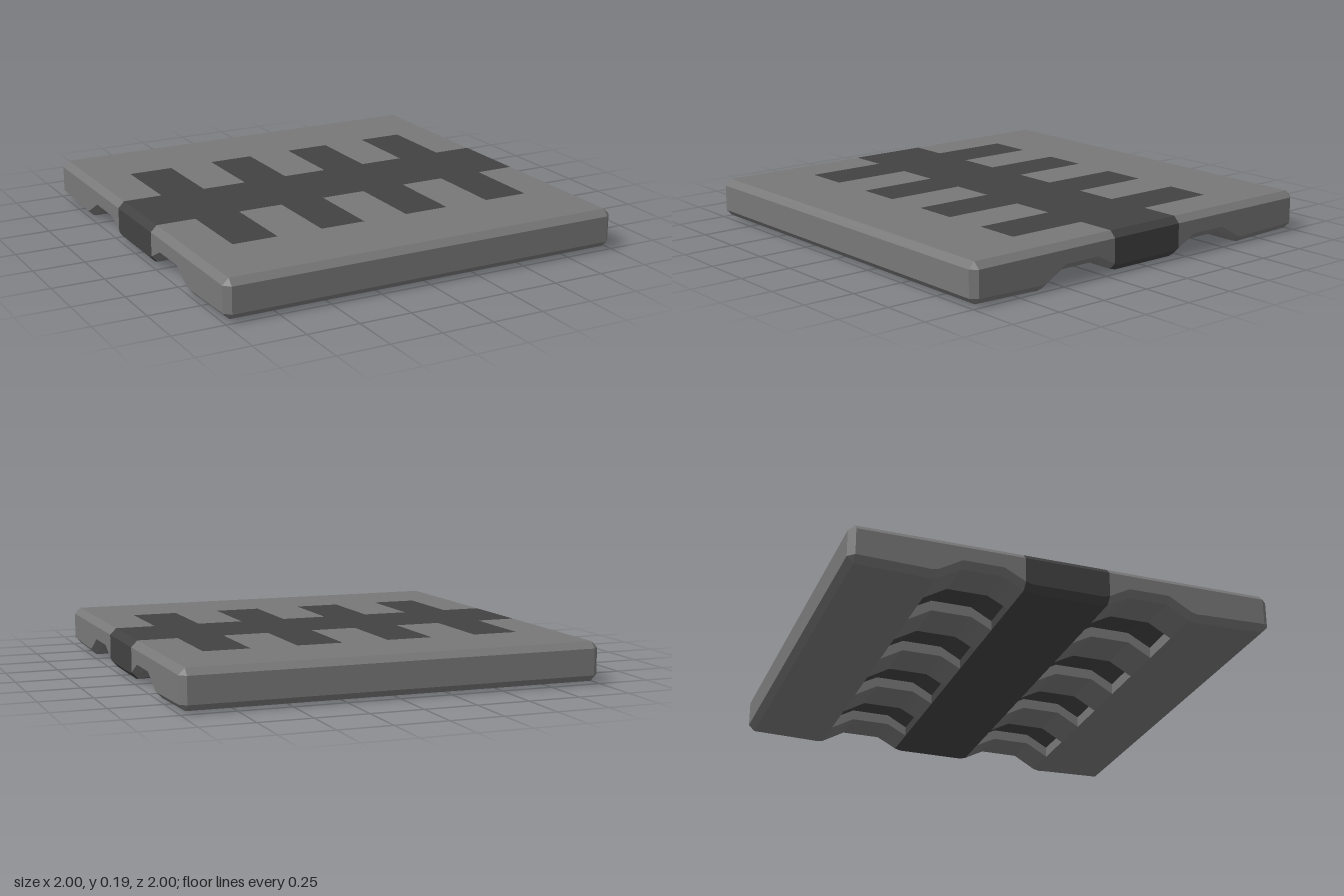
import * as THREE from 'three';

const TOP = 0.195, BEVEL = 0.03, EDGE = 1 - BEVEL;
const grey = new THREE.MeshStandardMaterial({ color: 0x787878, flatShading: true });
const dark = new THREE.MeshStandardMaterial({ color: 0x424242, flatShading: true });

// Solid between x0 and x1. Columns are [z, bottom, top] with z ascending;
// ends that reach x = -1 or x = 1 are bevelled.
function slab(name, x0, x1, columns, material) {
  const xs = [x0];
  if (x0 === -1) xs.push(-EDGE);
  if (x1 === 1) xs.push(EDGE);
  xs.push(x1);
  const rows = xs.map((x) => columns.map(([z, bottom, top = TOP]) => {
    if (Math.abs(x) === 1) {
      if (Math.abs(z) < 0.99) bottom += BEVEL;
      top = Math.min(top, TOP - BEVEL);
      z = THREE.MathUtils.clamp(z, -EDGE, EDGE);
    }
    return { b: [x, bottom, z], t: [x, top, z] };
  }));
  const pos = [];
  const quad = (a, b, c, d) => pos.push(...a, ...b, ...c, ...a, ...c, ...d);
  const m = xs.length - 1, n = columns.length - 1;
  for (let i = 0; i < m; i++) {
    const p = rows[i], q = rows[i + 1];
    for (let j = 0; j < n; j++) {
      quad(p[j].t, p[j + 1].t, q[j + 1].t, q[j].t);
      quad(p[j].b, q[j].b, q[j + 1].b, p[j + 1].b);
    }
    quad(p[n].b, q[n].b, q[n].t, p[n].t);
    quad(p[0].b, p[0].t, q[0].t, q[0].b);
  }
  for (let j = 0; j < n; j++) {
    const p = rows[0], q = rows[m];
    quad(q[j].b, q[j].t, q[j + 1].t, q[j + 1].b);
    quad(p[j].b, p[j + 1].b, p[j + 1].t, p[j].t);
  }
  const geometry = new THREE.BufferGeometry();
  geometry.setAttribute('position', new THREE.Float32BufferAttribute(pos, 3));
  geometry.computeVertexNormals();
  const mesh = new THREE.Mesh(geometry, material);
  mesh.name = name;
  return mesh;
}

const mirrored = (columns) => columns.map(([z, ...ys]) => [-z, ...ys]).reverse();

export function createModel() {
  const group = new THREE.Group();
  group.name = 'panel';

  // Underside profiles of the front half
  const border = [[0.6, 0.007], [0.63, 0], [0.66, 0.002], [EDGE, 0.01], [1, 0.04, TOP - BEVEL]];
  const arch = [[0.2, 0.018], [0.26, 0.05], [0.3, 0.07], [0.49, 0.07], [0.6, 0.007]];
  const recess = [[0.2, 0.065], [0.3, 0.12], [0.49, 0.12], [0.6, 0.06]];

  // Dark centre beam running from side to side
  const beam = [[-0.2, 0.018], [-0.17, 0.01], [0.17, 0.01], [0.2, 0.018]];
  group.add(slab('centreBeam', -1, 1, beam, dark));

  for (const [side, shape] of [['front', (c) => c], ['back', mirrored]]) {
    group.add(slab(side + 'Border', -1, 1, shape(border), grey));
    // Alternating grey arches and dark recessed bars, each 2/9 wide
    for (let i = 0; i < 9; i++) {
      const x0 = i === 0 ? -1 : -1 + i * 2 / 9;
      const x1 = i === 8 ? 1 : -1 + (i + 1) * 2 / 9;
      group.add(i % 2
        ? slab(side + 'Bar', x0, x1, shape(recess), dark)
        : slab(side + 'Arch', x0, x1, shape(arch), grey));
    }
  }
  return group;
}
